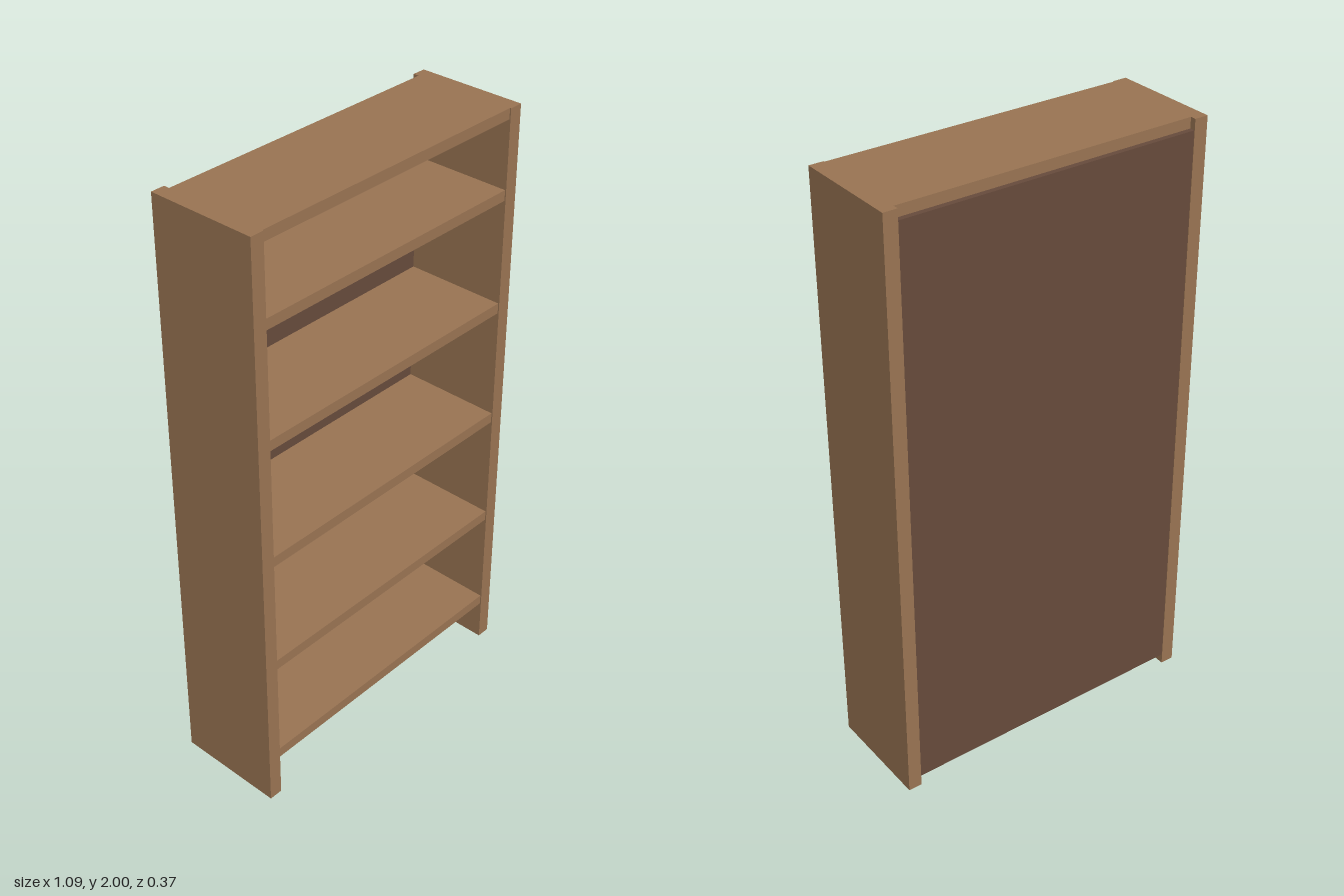
import * as THREE from 'three';

export function createModel() {
  const model = new THREE.Group();
  model.name = 'bookcase';

  const wood = new THREE.MeshStandardMaterial({ color: 0x987352 });
  wood.name = 'light brown wood';
  const darkWood = new THREE.MeshStandardMaterial({ color: 0x664a3b });
  darkWood.name = 'dark brown wood';

  // Box given by its lower and upper limits on each axis
  function board(name, material, [x0, x1], [y0, y1], [z0, z1]) {
    const mesh = new THREE.Mesh(new THREE.BoxGeometry(x1 - x0, y1 - y0, z1 - z0), material);
    mesh.position.set((x0 + x1) / 2, (y0 + y1) / 2, (z0 + z1) / 2);
    mesh.name = name;
    model.add(mesh);
  }

  const inner = [-0.5, 0.5];
  const shelfDepth = [-0.164, 0.179];
  const thickness = 0.035;

  // Side panels run down to the floor
  board('leftSide', wood, [0.5, 0.546], [0, 2], [-0.183, 0.183]);
  board('rightSide', wood, [-0.546, -0.5], [0, 2], [-0.183, 0.183]);

  // Top board and shelves, set between the sides
  board('topBoard', wood, inner, [2 - thickness, 2], shelfDepth);
  [0.147, 0.516, 0.913, 1.321, 1.706].forEach((y, i) =>
    board(`shelf${i + 1}`, wood, inner, [y, y + thickness], shelfDepth));

  // Back panel, slightly inset and clear of the floor
  board('backPanel', darkWood, inner, [0.035, 1.965], [-0.181, -0.164]);

  return model;
}
